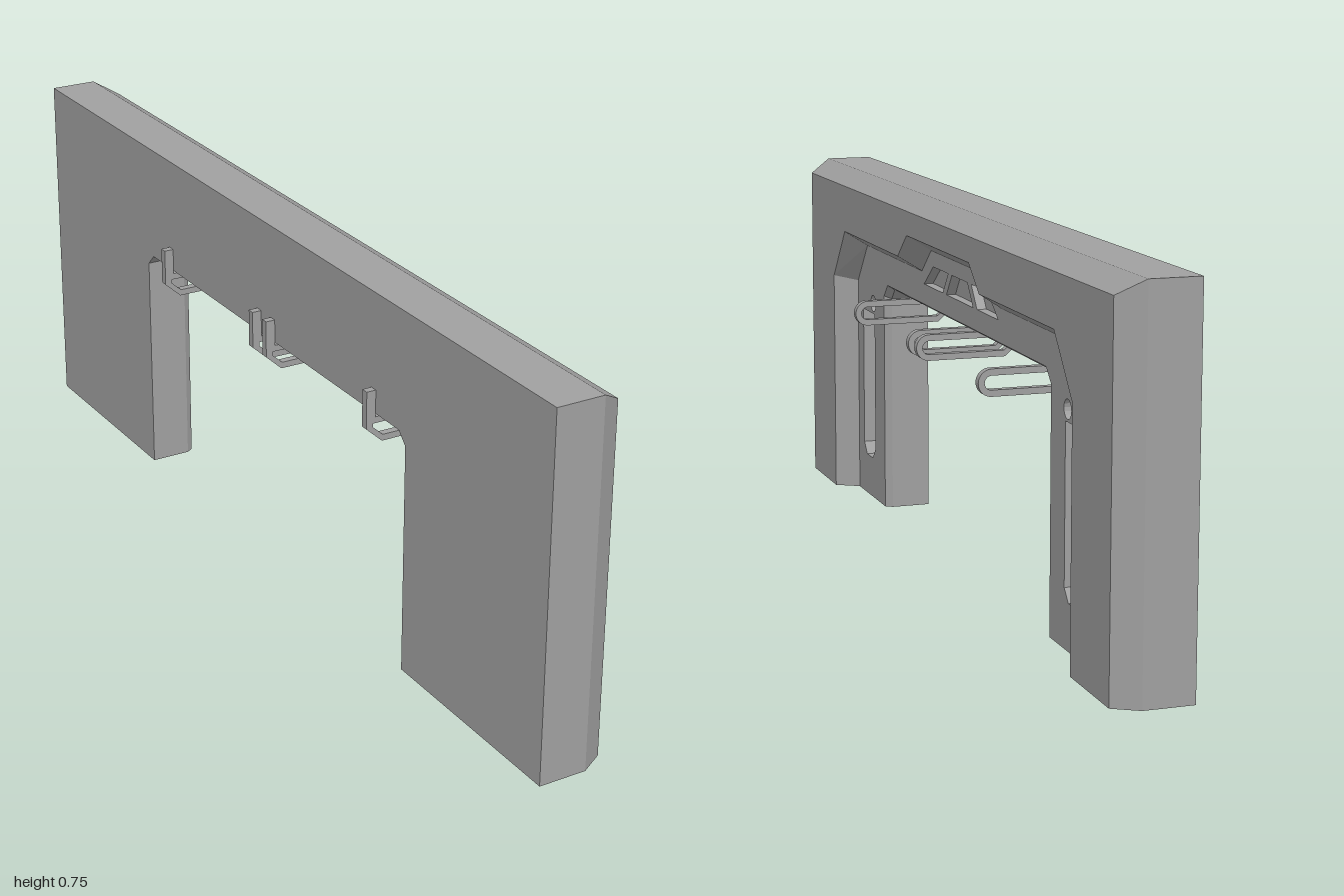
import * as THREE from 'three';

const BACK = -0.094, RECESS = 0.007, FRONT = 0.057;

// Profiles are drawn as [u, y] pairs, with u running along the wall
const mirror = half => [...half, ...half.slice().reverse().map(([u, y]) => [-u, y])];
const toShape = pts => new THREE.Shape(pts.map(([u, y]) => new THREE.Vector2(u, y)));
const between = (outer, inner) => toShape([...outer, ...inner.slice().reverse()]);

export function createModel() {
  const group = new THREE.Group();
  const grey = new THREE.MeshStandardMaterial({ color: 0xa0a0a0, side: THREE.DoubleSide });
  grey.name = 'wallGrey';
  const dark = new THREE.MeshStandardMaterial({ color: 0x333333, side: THREE.DoubleSide });
  dark.name = 'slotDark';

  function add(name, geo, mat = grey) {
    const mesh = new THREE.Mesh(geo, mat);
    mesh.name = name;
    group.add(mesh);
    return mesh;
  }

  // Flat face turned to look along +x
  function face(name, shape, x, mat) {
    return add(name, new THREE.ShapeGeometry(shape).rotateY(Math.PI / 2).translate(x, 0, 0), mat);
  }

  // Strip of quads joining two profiles at different depths
  function ribbon(name, a, xa, b, xb, closed = false) {
    const pos = [];
    const n = closed ? a.length : a.length - 1;
    for (let i = 0; i < n; i++) {
      const j = (i + 1) % a.length;
      const p = ([u, y], x) => [x, y, -u];
      const a0 = p(a[i], xa), b0 = p(b[i], xb), b1 = p(b[j], xb), a1 = p(a[j], xa);
      pos.push(...a0, ...b0, ...b1, ...a0, ...b1, ...a1);
    }
    const geo = new THREE.BufferGeometry();
    geo.setAttribute('position', new THREE.Float32BufferAttribute(pos, 3));
    geo.computeVertexNormals();
    return add(name, geo);
  }

  // Main outlines
  const outerBack = mirror([[-1, 0], [-1, 0.755]]);
  const outerFront = mirror([[-0.97, 0], [-0.97, 0.725]]);
  const recessOuter = mirror([[-0.78, 0], [-0.78, 0.505], [-0.685, 0.62], [-0.27, 0.62], [-0.205, 0.673]]);
  const recessInner = mirror([[-0.75, 0], [-0.75, 0.495], [-0.67, 0.588], [-0.255, 0.588], [-0.19, 0.641]]);
  const openFront = mirror([[-0.54, 0], [-0.54, 0.49], [-0.512, 0.518]]);
  const openBack = mirror([[-0.53, 0], [-0.53, 0.484], [-0.506, 0.508]]);

  // Shell: outer sides, bevels and opening, left open underneath
  ribbon('outerSides', outerBack, BACK, outerBack, RECESS);
  ribbon('outerBevel', outerBack, RECESS, outerFront, FRONT);
  ribbon('recessBevel', recessOuter, FRONT, recessInner, RECESS);
  ribbon('openingBevel', openFront, RECESS, openBack, RECESS - 0.015);
  ribbon('openingSides', openBack, RECESS - 0.015, openBack, BACK);
  face('frontFace', between(outerFront, recessOuter), FRONT);
  add('backFace', new THREE.ShapeGeometry(between(outerBack, openBack))
    .rotateY(-Math.PI / 2).translate(BACK, 0, 0));

  // Pockets cut in the recessed panel (clockwise outlines)
  const pockets = [];
  const flip = pts => pts.map(([u, y]) => [-u, y]).reverse();
  const slot = [[0.617, 0.435], [0.707, 0.435], [0.707, 0.118], [0.685, 0.093], [0.639, 0.093], [0.617, 0.118]];
  const sideVent = [[0.075, 0.608], [0.176, 0.608], [0.24, 0.562], [0.112, 0.562]];
  const midVent = [[-0.05, 0.608], [0.05, 0.608], [0.086, 0.562], [-0.086, 0.562]];
  const hole = Array.from({ length: 16 }, (_, i) => {
    const t = -i * Math.PI / 8;
    return [0.627 + 0.019 * Math.cos(t), 0.459 + 0.019 * Math.sin(t)];
  });
  for (const side of [p => p, flip]) {
    pockets.push({ name: 'slot', pts: side(slot), x: -0.09, mat: dark });
    pockets.push({ name: 'vent', pts: side(sideVent), x: RECESS - 0.02 });
    pockets.push({ name: 'roundHole', pts: side(hole), x: RECESS - 0.015 });
  }
  pockets.push({ name: 'centreVent', pts: midVent, x: RECESS - 0.02 });

  const panel = between(recessInner, openFront);
  for (const { name, pts, x, mat } of pockets) {
    panel.holes.push(toShape(pts));
    ribbon(name + 'Walls', pts, RECESS, pts, x, true);
    face(name + 'Floor', toShape(pts), x, mat);
  }
  face('recessedPanel', panel, RECESS);

  // Looped hooks under the lintel, with a tab rising behind the wall
  const hook = new THREE.Shape();
  hook.moveTo(-0.095, 0.558);
  hook.lineTo(-0.115, 0.558);
  hook.lineTo(-0.115, 0.48);
  hook.lineTo(-0.08, 0.448);
  hook.lineTo(0.084, 0.448);
  hook.absarc(0.084, 0.475, 0.027, -Math.PI / 2, Math.PI / 2, false);
  hook.lineTo(-0.095, 0.502);
  const gap = new THREE.Path();
  gap.moveTo(-0.1, 0.489);
  gap.lineTo(0.084, 0.489);
  gap.absarc(0.084, 0.475, 0.014, Math.PI / 2, -Math.PI / 2, true);
  gap.lineTo(-0.078, 0.461);
  gap.lineTo(-0.1, 0.481);
  hook.holes.push(gap);
  const hookGeo = new THREE.ExtrudeGeometry(hook, { depth: 0.016, bevelEnabled: false, curveSegments: 10 })
    .translate(0, 0, -0.008);
  for (const z of [-0.417, -0.028, 0.028, 0.417]) add('hook', hookGeo).position.z = z;

  return group;
}
